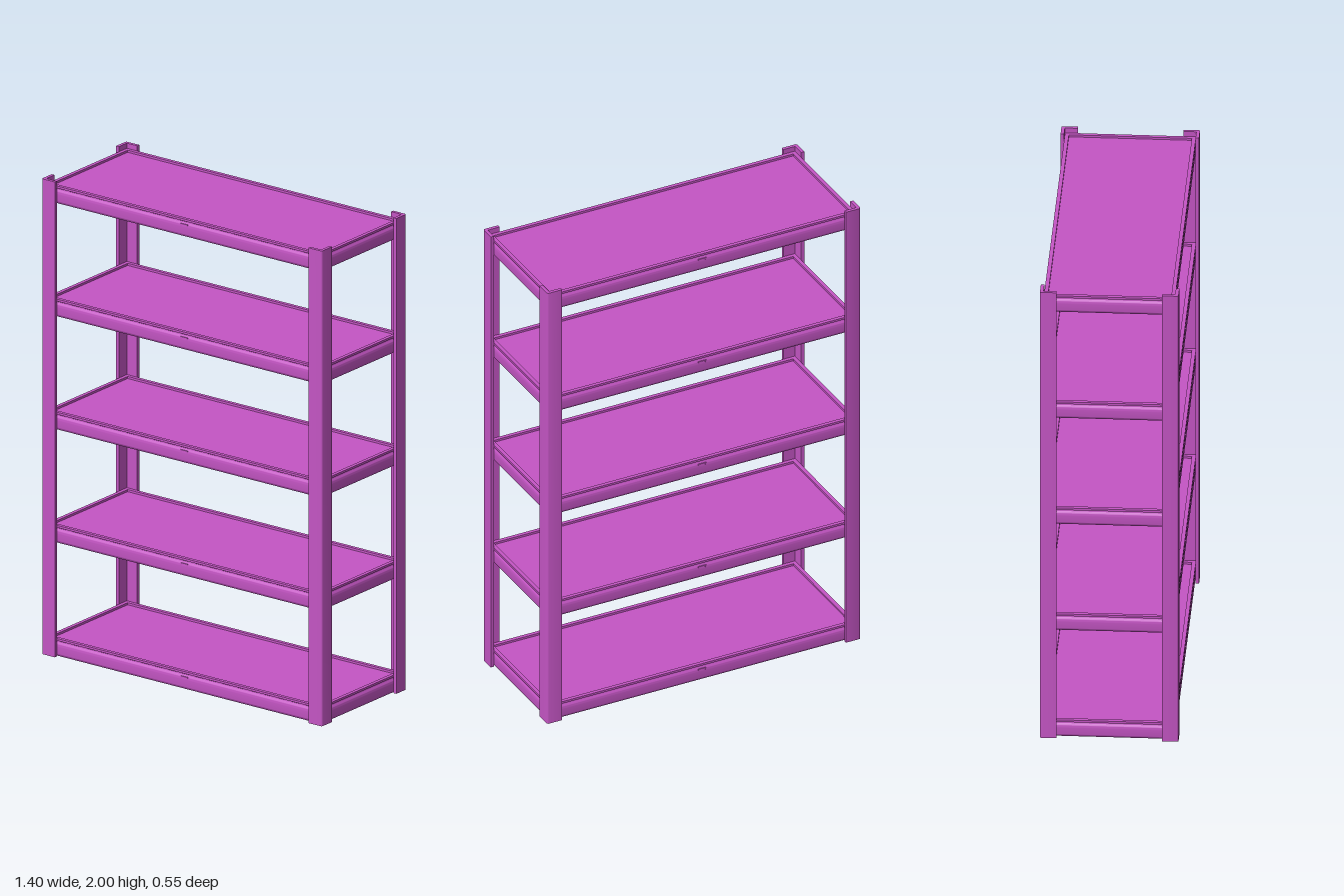
import * as THREE from 'three';
import { toCreasedNormals } from 'three/addons/utils/BufferGeometryUtils.js';

const X = 0.685, Z = 0.26;       // outer faces of the shelf frames
const WALL = 0.016;              // thickness of beams
const BEAM_H = 0.075, PITCH = 0.476, SHELVES = 5;

const material = new THREE.MeshStandardMaterial({ color: 0xc455c4 });

function add(parent, geometry, name, x = 0, y = 0, z = 0) {
  const mesh = new THREE.Mesh(geometry, material);
  mesh.name = name;
  mesh.position.set(x, y, z);
  parent.add(mesh);
  return mesh;
}

function extrude(shape, depth) {
  const g = new THREE.ExtrudeGeometry(shape, { depth, bevelEnabled: false, curveSegments: 8 });
  return toCreasedNormals(g, 0.6);
}

// Rolled beam: flat rim on top, groove, then a rounded face; outer side at x = 0
function beamGeometry(length) {
  const s = new THREE.Shape();
  s.moveTo(-WALL, 0);
  s.lineTo(-0.007, 0);
  s.quadraticCurveTo(0, 0.004, 0, 0.018);
  s.lineTo(0, 0.04);
  s.quadraticCurveTo(0, 0.054, -0.006, 0.058);
  s.lineTo(-0.006, 0.063);
  s.lineTo(0, 0.066);
  s.lineTo(0, BEAM_H);
  s.lineTo(-WALL, BEAM_H);
  s.closePath();
  return extrude(s, length).translate(0, 0, -length / 2);
}

// Angle post with a softly bent corner; outer corner at (0.70, 0.275)
function postGeometry() {
  const ox = 0.7, oz = 0.275, w = 0.066, t = 0.014, r = 0.008;
  const s = new THREE.Shape();
  s.moveTo(ox - w, -oz);
  s.lineTo(ox - r, -oz);
  s.quadraticCurveTo(ox, -oz, ox, -oz + r);
  s.lineTo(ox, -oz + w);
  s.lineTo(ox - t, -oz + w);
  s.lineTo(ox - t, -oz + t);
  s.lineTo(ox - w, -oz + t);
  s.closePath();
  return extrude(s, 2).rotateX(-Math.PI / 2);
}

export function createModel() {
  const rack = new THREE.Group();
  rack.name = 'shelvingRack';

  // Four posts: the front left one turned, the others built by half turn and mirror
  const post = postGeometry();
  const mirrored = post.clone().scale(-1, 1, 1);
  // Mirroring flips the winding, so swap two corners of every triangle
  for (const key of ['position', 'normal', 'uv']) {
    const a = mirrored.attributes[key], n = a.itemSize;
    for (let i = 0; i < a.count; i += 3) {
      for (let k = 0; k < n; k++) {
        const p = (i + 1) * n + k, q = (i + 2) * n + k;
        [a.array[p], a.array[q]] = [a.array[q], a.array[p]];
      }
    }
  }
  add(rack, post, 'postFrontLeft');
  add(rack, mirrored, 'postFrontRight');
  add(rack, post, 'postBackRight').rotation.y = Math.PI;
  add(rack, mirrored, 'postBackLeft').rotation.y = Math.PI;

  const longBeam = beamGeometry(2 * X);
  const endBeam = beamGeometry(2 * (Z - WALL));
  const panel = new THREE.BoxGeometry(2 * (X - WALL), 0.012, 2 * (Z - WALL));
  const brace = new THREE.BoxGeometry(0.02, 0.048, 2 * (Z - WALL));
  const clipTop = new THREE.BoxGeometry(0.036, 0.005, 0.004);
  const clipEnd = new THREE.BoxGeometry(0.005, 0.014, 0.004);

  for (let i = 0; i < SHELVES; i++) {
    const shelf = new THREE.Group();
    shelf.name = `shelf${i + 1}`;
    shelf.position.y = i * PITCH;
    rack.add(shelf);

    add(shelf, panel, 'shelfPanel', 0, 0.06, 0);
    for (const side of [1, -1]) {
      add(shelf, longBeam, side > 0 ? 'frontBeam' : 'backBeam', 0, 0, side * Z)
        .rotation.y = -side * Math.PI / 2;
      add(shelf, endBeam, side > 0 ? 'leftBeam' : 'rightBeam', side * X, 0, 0)
        .rotation.y = side > 0 ? 0 : Math.PI;

      // Small clip at the middle of each long beam
      add(shelf, clipTop, 'clipBar', 0, 0.051, side * (Z - 0.001));
      for (const e of [1, -1]) add(shelf, clipEnd, 'clipTab', e * 0.0155, 0.046, side * (Z - 0.001));

      // Cross braces beneath all but the lowest panel
      if (i > 0) add(shelf, brace, 'crossBrace', side * 0.225, 0.03, 0);
    }
  }
  return rack;
}
